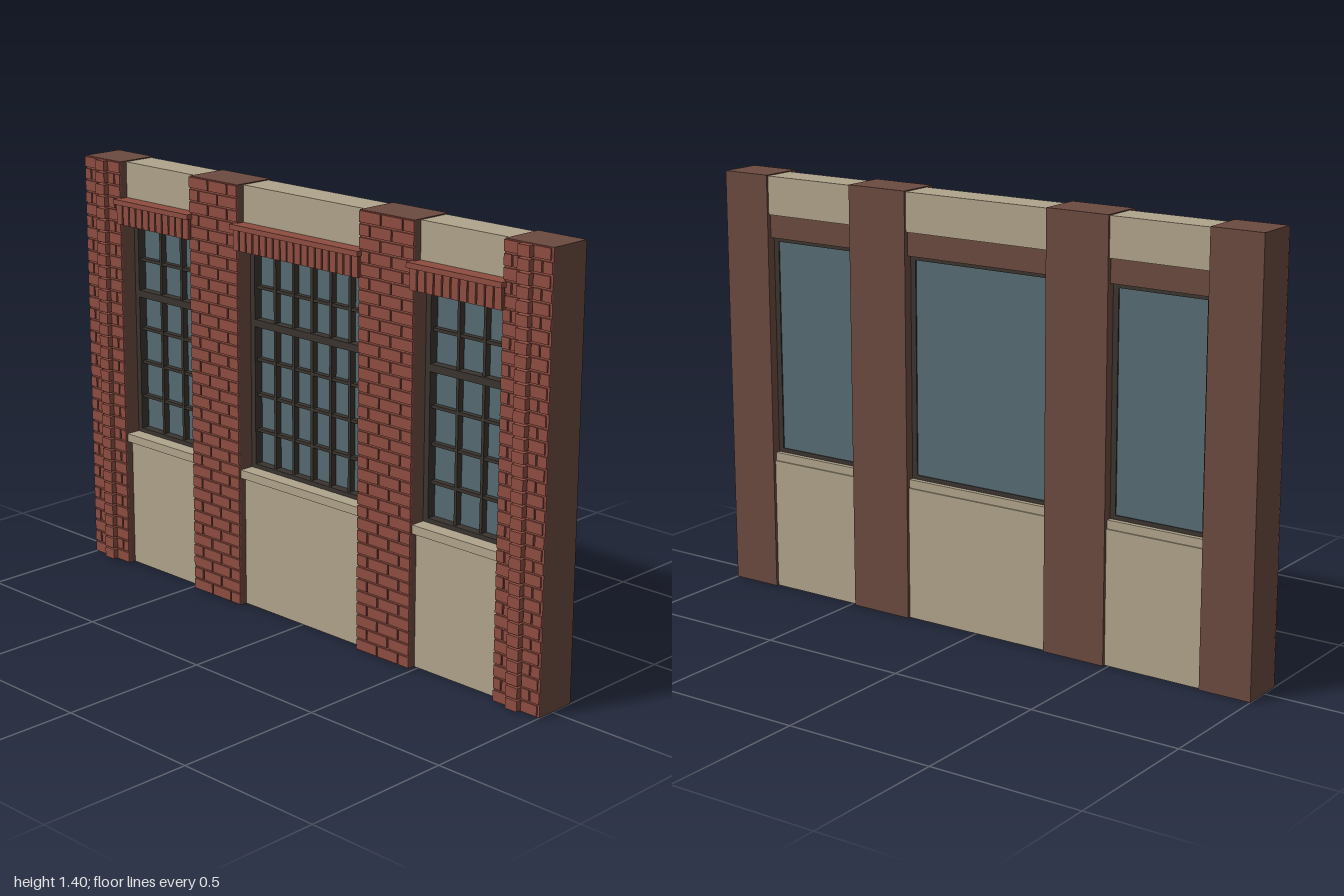
import * as THREE from 'three';
import { mergeGeometries } from 'three/addons/utils/BufferGeometryUtils.js';

const HEIGHT = 1.405;
const COURSES = 35;
const COURSE = HEIGHT / COURSES;
const GAP = 0.006;

const material = (name, color) => {
  const m = new THREE.MeshStandardMaterial({ color });
  m.name = name;
  return m;
};

// Box given by its limits on each axis
function box(x0, x1, y0, y1, z0, z1) {
  return new THREE.BoxGeometry(x1 - x0, y1 - y0, z1 - z0)
    .translate((x0 + x1) / 2, (y0 + y1) / 2, (z0 + z1) / 2);
}

// Running bond between x0 and x1, every other course shifted by half a brick
function brickwork(x0, x1, length, z0, z1) {
  const bricks = [];
  for (let row = 0; row < COURSES; row++) {
    const y = row * COURSE;
    const start = x0 - (row % 2 ? length / 2 : 0);
    for (let x = start; x < x1 - 0.001; x += length) {
      const a = x <= x0 + 0.001 ? x0 : x + GAP / 2;
      const b = x + length >= x1 - 0.001 ? x1 : x + length - GAP / 2;
      if (b - a > 0.004) bricks.push(box(a, b, y + GAP / 2, y + COURSE - GAP / 2, z0, z1));
    }
  }
  return bricks;
}

export function createModel() {
  const model = new THREE.Group();
  model.name = 'brickFacade';
  const brick = material('brick red', 0x8e4d41);
  const brown = material('masonry brown', 0x6b4a40);
  const stone = material('beige stone', 0xb0a48b);
  const glass = material('blue grey glass', 0x566b73);
  const frame = material('dark frame', 0x3a342f);

  const add = (parent, name, mat, geometries) => {
    const mesh = new THREE.Mesh(mergeGeometries(geometries), mat);
    mesh.name = name;
    parent.add(mesh);
  };

  // Piers: brown core, brick facing
  const piers = [
    ['rightOuterPier', -1, -0.825], ['rightInnerPier', -0.485, -0.265],
    ['leftInnerPier', 0.265, 0.485], ['leftOuterPier', 0.825, 1],
  ];
  for (const [name, x0, x1] of piers) {
    const pier = new THREE.Group();
    pier.name = name;
    add(pier, 'pierCore', brown, [box(x0, x1, 0, HEIGHT, -0.085, 0.057)]);
    const facing = [box(x0, x1, 0, HEIGHT, 0.057, 0.059)];
    if (name.includes('Outer')) {
      // Outer piers carry a projecting single-brick strip
      const c = Math.sign(x0) * 0.908;
      facing.push(
        ...brickwork(x0, c - 0.025, 0.062, 0.058, 0.064),
        ...brickwork(c + 0.025, x1, 0.062, 0.058, 0.064),
      );
      const strip = [];
      for (let row = 0; row < COURSES; row++) {
        const y = row * COURSE;
        strip.push(box(c - 0.022, c + 0.022, y + GAP / 2, y + COURSE - GAP / 2, 0.058, 0.08));
      }
      add(pier, 'projectingStrip', brick, strip);
    } else {
      facing.push(...brickwork(x0, x1, 0.088, 0.058, 0.064));
    }
    add(pier, 'brickFacing', brick, facing);
    model.add(pier);
  }

  // Window bays between the piers
  const bays = [
    ['rightBay', -0.825, -0.485, 3], ['middleBay', -0.265, 0.265, 6], ['leftBay', 0.485, 0.825, 3],
  ];
  for (const [name, x0, x1, panes] of bays) {
    const bay = new THREE.Group();
    bay.name = name;

    // Stone panels and sill
    add(bay, 'lowerPanel', stone, [box(x0, x1, 0, 0.44, -0.075, 0.035)]);
    add(bay, 'sill', stone, [
      box(x0, x1, 0.44, 0.468, -0.07, 0.055),
    ]);
    add(bay, 'parapetPanel', stone, [box(x0, x1, 1.275, HEIGHT - 0.003, -0.078, 0.033)]);

    // Lintel with a soldier course and a ledge
    add(bay, 'lintelCore', brown, [box(x0, x1, 1.198, 1.275, -0.07, 0.05)]);
    const soldiers = [box(x0 - 0.008, x1 + 0.008, 1.2, 1.266, 0.05, 0.069)];
    const a = x0 - 0.008, count = Math.round((x1 - x0) / 0.03);
    const step = (x1 - x0 + 0.016) / count;
    for (let i = 0; i < count; i++) {
      soldiers.push(box(a + i * step + GAP / 2, a + (i + 1) * step - GAP / 2, 1.199, 1.266, 0.068, 0.075));
    }
    add(bay, 'soldierCourse', brick, soldiers);
    add(bay, 'lintelLedge', brick, [box(x0 - 0.012, x1 + 0.012, 1.266, 1.283, 0.03, 0.084)]);

    // Glass and glazing bars
    const y0 = 0.468, y1 = 1.198, edge = 0.019;
    add(bay, 'windowGlass', glass, [box(x0, x1, y0, y1, -0.05, -0.025)]);
    add(bay, 'windowFrame', frame, [
      box(x0, x0 + edge, y0, y1, -0.054, 0.005),
      box(x1 - edge, x1, y0, y1, -0.054, 0.005),
      box(x0, x1, y0, y0 + 0.014, -0.054, 0.005),
      box(x0, x1, y1 - 0.014, y1, -0.054, 0.005),
      box(x0, x1, 0.942, 0.966, -0.025, 0.005),
    ]);
    const bars = [];
    for (let i = 1; i < panes; i++) {
      const x = x0 + edge + (x1 - x0 - 2 * edge) * i / panes;
      bars.push(box(x - 0.005, x + 0.005, y0, y1, -0.026, -0.004));
    }
    for (const y of [0.595, 0.715, 0.832, 1.07]) {
      bars.push(box(x0, x1, y - 0.005, y + 0.005, -0.026, -0.006));
    }
    add(bay, 'glazingBars', frame, bars);
    model.add(bay);
  }
  return model;
}
